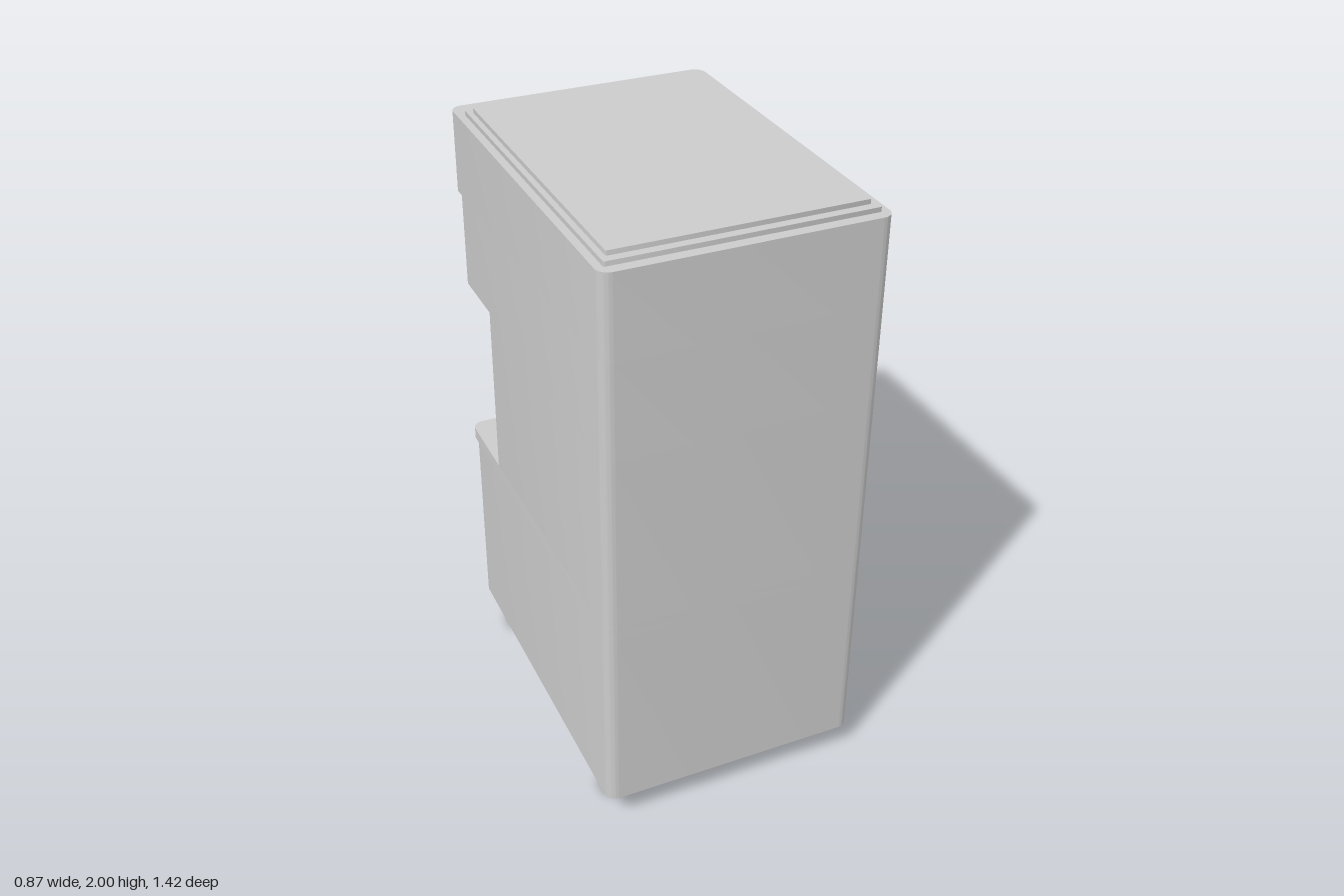
import * as THREE from 'three';
import { toCreasedNormals } from 'three/addons/utils/BufferGeometryUtils.js';

const grey = new THREE.MeshStandardMaterial({ color: 0xcccccc });

function add(parent, name, geometry, x = 0, y = 0, z = 0) {
  const mesh = new THREE.Mesh(geometry, grey);
  mesh.name = name;
  mesh.position.set(x, y, z);
  parent.add(mesh);
  return mesh;
}

// Rectangle outline with rounded corners
function roundedRect(x0, x1, y0, y1, r) {
  const s = new THREE.Shape();
  s.absarc(x1 - r, y0 + r, r, -Math.PI / 2, 0);
  s.absarc(x1 - r, y1 - r, r, 0, Math.PI / 2);
  s.absarc(x0 + r, y1 - r, r, Math.PI / 2, Math.PI);
  s.absarc(x0 + r, y0 + r, r, Math.PI, Math.PI * 1.5);
  s.closePath();
  return s;
}

function extrude(shape, depth) {
  const g = new THREE.ExtrudeGeometry(shape, { depth, bevelEnabled: false, curveSegments: 8 });
  return toCreasedNormals(g, 0.6);
}

// Upright slab with a rounded plan, from zMin to zMax and y0 to y1
function slab(halfWidth, zMin, zMax, y0, y1, r) {
  const g = extrude(roundedRect(-halfWidth, halfWidth, -zMax, -zMin, r), y1 - y0);
  return g.rotateX(-Math.PI / 2).translate(0, y0, 0);
}

export function createModel() {
  const model = new THREE.Group();
  model.name = 'softServeMachine';

  // Cabinet: stacked slabs share the same sides, each with its own working face
  const W = 0.435, R = 0.038, B = 0.71;
  add(model, 'lowerCabinet', slab(W, -0.49, B, 0.1, 0.755, R));
  add(model, 'shelf', slab(W, -0.525, B, 0.755, 0.795, R));
  add(model, 'recessedColumn', slab(W, -0.27, B, 0.795, 1.385, R));
  add(model, 'dispenserHousing', slab(W, -0.49, B, 1.385, 1.7, R));
  add(model, 'head', slab(W, -0.53, B, 1.7, 1.97, R));
  add(model, 'lidRim', slab(0.41, -0.45, 0.675, 1.97, 1.985, 0.006));
  add(model, 'lid', slab(0.392, -0.423, 0.647, 1.985, 2.0, 0.006));

  // Dispenser panel: a shallow framed box
  const frame = roundedRect(-0.255, 0.255, 1.45, 1.65, 0.003);
  frame.holes.push(roundedRect(-0.235, 0.235, 1.47, 1.63, 0.003));
  add(model, 'panelFrame', extrude(frame, 0.075), 0, 0, -0.562);
  add(model, 'panelFace', new THREE.BoxGeometry(0.472, 0.162, 0.06), 0, 1.55, -0.515);

  // Draw handles, leaning out and up, and the nozzles below
  const handleProfile = [
    [0, 0], [0.013, 0], [0.017, 0.03], [0.026, 0.1], [0.034, 0.155],
    [0.036, 0.175], [0.034, 0.19], [0.027, 0.203], [0.015, 0.212], [0, 0.215],
  ].map(([x, y]) => new THREE.Vector2(x, y));
  const handleGeo = new THREE.LatheGeometry(handleProfile, 24);
  const nozzleProfile = [
    [0.042, 0.03], [0.042, 0], [0.07, 0], [0.07, 0.03],
  ].map(([x, y]) => new THREE.Vector2(x, y));
  const nozzleGeo = toCreasedNormals(new THREE.LatheGeometry(nozzleProfile, 32), 0.6);
  for (const i of [-1, 0, 1]) {
    const handle = add(model, 'handle', handleGeo, i * 0.195, 1.635, -0.55);
    handle.rotation.x = -0.8;
    add(model, 'nozzle', nozzleGeo, i * 0.275, 1.36, -0.37);
  }

  // Plain oval plate with slim trim strips on the head
  const oval = new THREE.Shape().absellipse(0, 0, 0.1, 0.045, 0, Math.PI * 2);
  const opening = new THREE.Path().absellipse(0, 0, 0.088, 0.036, 0, Math.PI * 2);
  add(model, 'ovalPlate', extrude(oval, 0.012), 0, 1.87, -0.539);
  const rim = oval.clone();
  rim.holes.push(opening);
  add(model, 'ovalRim', extrude(rim, 0.01), 0, 1.87, -0.545);
  for (const s of [-1, 1]) {
    const strip = add(model, 'trimStrip', new THREE.BoxGeometry(0.09, 0.006, 0.01), s * 0.148, 1.865, -0.532);
    strip.rotation.z = -s * 0.3;
  }

  // Casters
  const wheelGeo = new THREE.CylinderGeometry(0.054, 0.054, 0.064, 32).rotateZ(Math.PI / 2);
  for (const x of [-0.372, 0.372]) {
    for (const z of [-0.35, 0.565]) add(model, 'caster', wheelGeo, x, 0.054, z);
  }

  return model;
}
